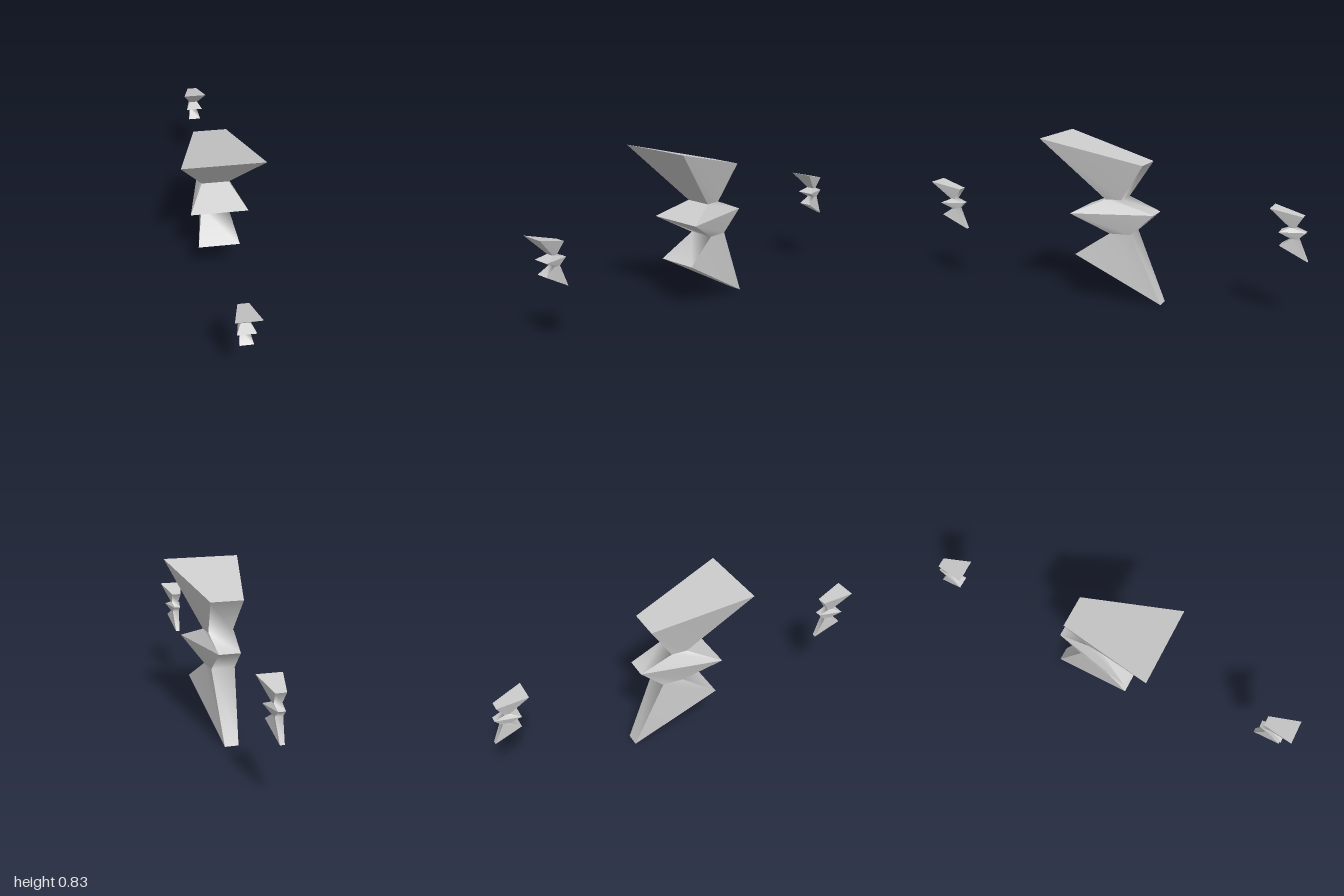
import * as THREE from 'three';
import { mergeGeometries } from 'three/addons/utils/BufferGeometryUtils.js';

// Cross-sections from top to bottom: [front z, front y, front half width, back z, back y, back half width]
const SECTIONS = [
  [0.288, 0.832, 0.198, -0.204, 0.708, 0.083],
  [-0.005, 0.527, 0.068, -0.086, 0.527, 0.062],
  [0.155, 0.458, 0.143, -0.252, 0.46, 0.055],
  [-0.027, 0.354, 0.068, -0.134, 0.354, 0.06],
  [0.145, 0.24, 0.105, -0.288, 0, 0.035],
];

// Corners of each section: front -x, front +x, back +x, back -x
const corners = SECTIONS.map(([fz, fy, fw, bz, by, bw]) => [
  [-fw, fy, fz], [fw, fy, fz], [bw, by, bz], [-bw, by, bz],
]);

// Band of quads through pairs of points, smooth along its length
function band(pairs) {
  const index = [];
  for (let i = 0; i < pairs.length - 1; i++) {
    const a = i * 2;
    index.push(a, a + 2, a + 3, a, a + 3, a + 1);
  }
  const g = new THREE.BufferGeometry();
  g.setAttribute('position', new THREE.Float32BufferAttribute(pairs.flat(2), 3));
  g.setIndex(index);
  g.computeVertexNormals();
  return g;
}

function createBoltGeometry() {
  // Rows joined smoothly on each face: front, +x side, back, -x side
  const flat = [[0, 1], [1, 2], [2, 3], [3, 4]];
  const runs = [[[0, 1], [1, 2], [2, 3, 4]], flat, [[0, 1, 2], [2, 3, 4]], flat];
  const parts = [];
  runs.forEach((faceRuns, s) => {
    for (const rows of faceRuns) {
      parts.push(band(rows.map((r) => [corners[r][s], corners[r][(s + 1) % 4]])));
    }
  });
  // Slanted top and underside
  const [top, low] = [corners[0], corners[4]];
  parts.push(band([[top[3], top[2]], [top[0], top[1]]]));
  parts.push(band([[low[0], low[1]], [low[3], low[2]]]));
  return mergeGeometries(parts);
}

export function createModel() {
  const group = new THREE.Group();
  group.name = 'lightningBolts';
  const geometry = createBoltGeometry();
  const material = new THREE.MeshStandardMaterial({ color: 0xcccccc });

  // One large bolt with a small one in front and one behind
  const bolts = [
    ['largeBolt', 0, 0, 1],
    ['frontSmallBolt', 0.29, 0.912, 0.306],
    ['backSmallBolt', 0.29, -0.912, 0.306],
  ];
  for (const [name, y, z, scale] of bolts) {
    const bolt = new THREE.Mesh(geometry, material);
    bolt.name = name;
    bolt.position.set(0, y, z);
    bolt.scale.setScalar(scale);
    group.add(bolt);
  }
  return group;
}
